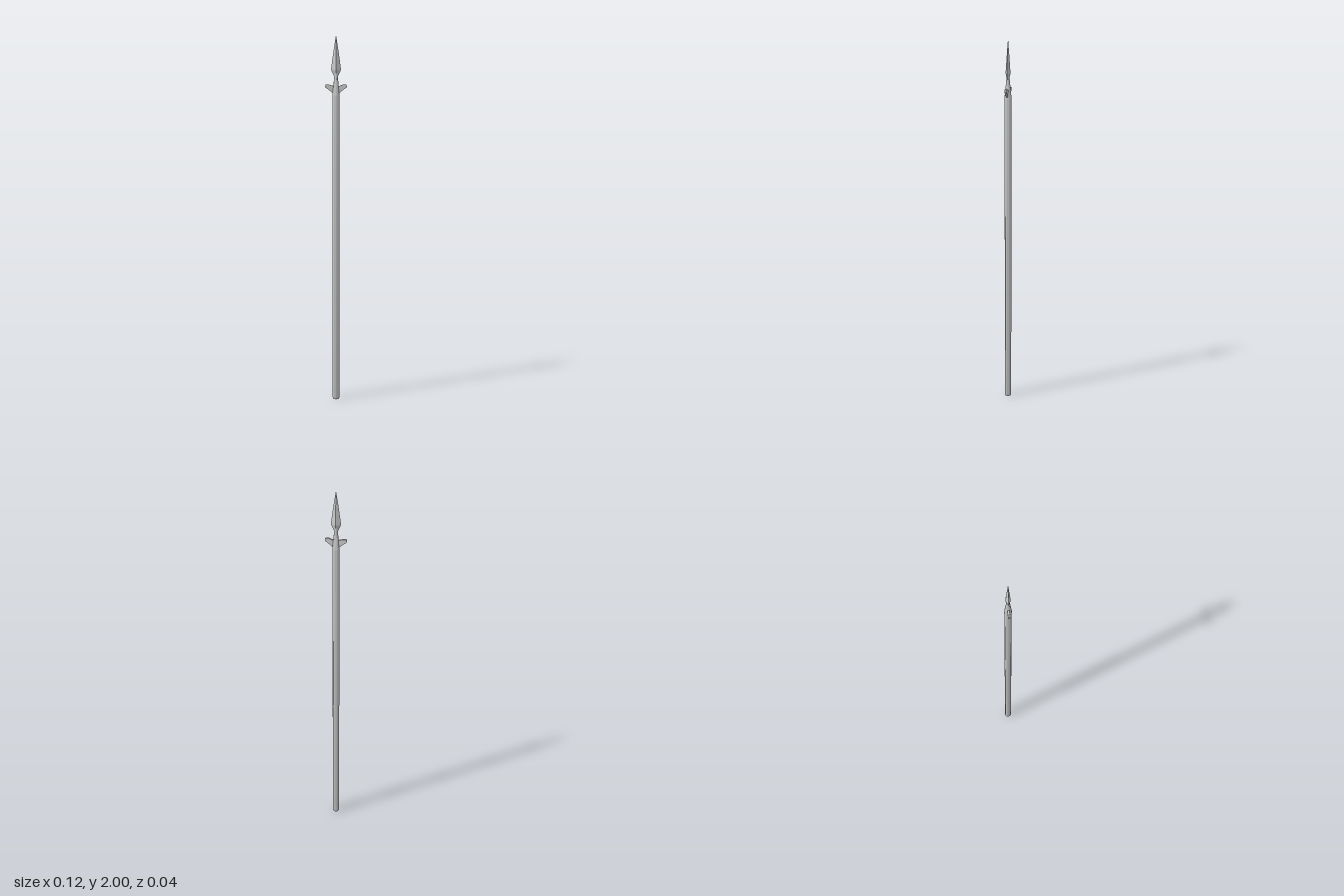
import * as THREE from 'three';
import { toCreasedNormals } from 'three/addons/utils/BufferGeometryUtils.js';

const smooth = new THREE.MeshStandardMaterial({ color: 0xcccccc });
const flat = new THREE.MeshStandardMaterial({ color: 0xcccccc, flatShading: true });

// Revolved part from [radius, height] pairs, listed bottom to top
function turned(name, profile, sides, material) {
  const points = profile.map(([r, y]) => new THREE.Vector2(r, y));
  const geometry = toCreasedNormals(new THREE.LatheGeometry(points, sides), 0.6);
  const mesh = new THREE.Mesh(geometry, material);
  mesh.name = name;
  return mesh;
}

export function createModel() {
  const spear = new THREE.Group();
  spear.name = 'spear';

  // Wooden shaft with a bevelled butt
  spear.add(turned('shaft', [
    [0, 0], [0.015, 0], [0.0185, 0.008], [0.0185, 1.685], [0, 1.685],
  ], 12, smooth));

  // Socket narrowing into the neck below the blade
  spear.add(turned('socket', [
    [0, 1.68], [0.0195, 1.68], [0.0185, 1.695], [0.014, 1.735], [0.0095, 1.78], [0.0085, 1.8], [0, 1.8],
  ], 12, smooth));

  // Leaf blade of diamond section, wide in x and thin in z
  const blade = turned('blade', [
    [0, 1.775], [0.01, 1.78], [0.026, 1.815], [0.025, 1.83], [0.014, 1.91], [0, 2],
  ], 4, flat);
  blade.scale.z = 0.5;
  spear.add(blade);

  // Pair of flat wings flaring from the socket
  for (const side of [1, -1]) {
    const outline = new THREE.Shape([
      [0, 1.69], [0.016, 1.69], [0.034, 1.706], [0.055, 1.721], [0.058, 1.727],
      [0.055, 1.737], [0.036, 1.737], [0.02, 1.731], [0, 1.731],
    ].map(([x, y]) => new THREE.Vector2(x * side, y)));
    const geometry = new THREE.ExtrudeGeometry(outline, { depth: 0.01, bevelEnabled: false });
    geometry.translate(0, 0, -0.005);
    const wing = new THREE.Mesh(geometry, flat);
    wing.name = side > 0 ? 'leftWing' : 'rightWing';
    spear.add(wing);
  }

  return spear;
}
